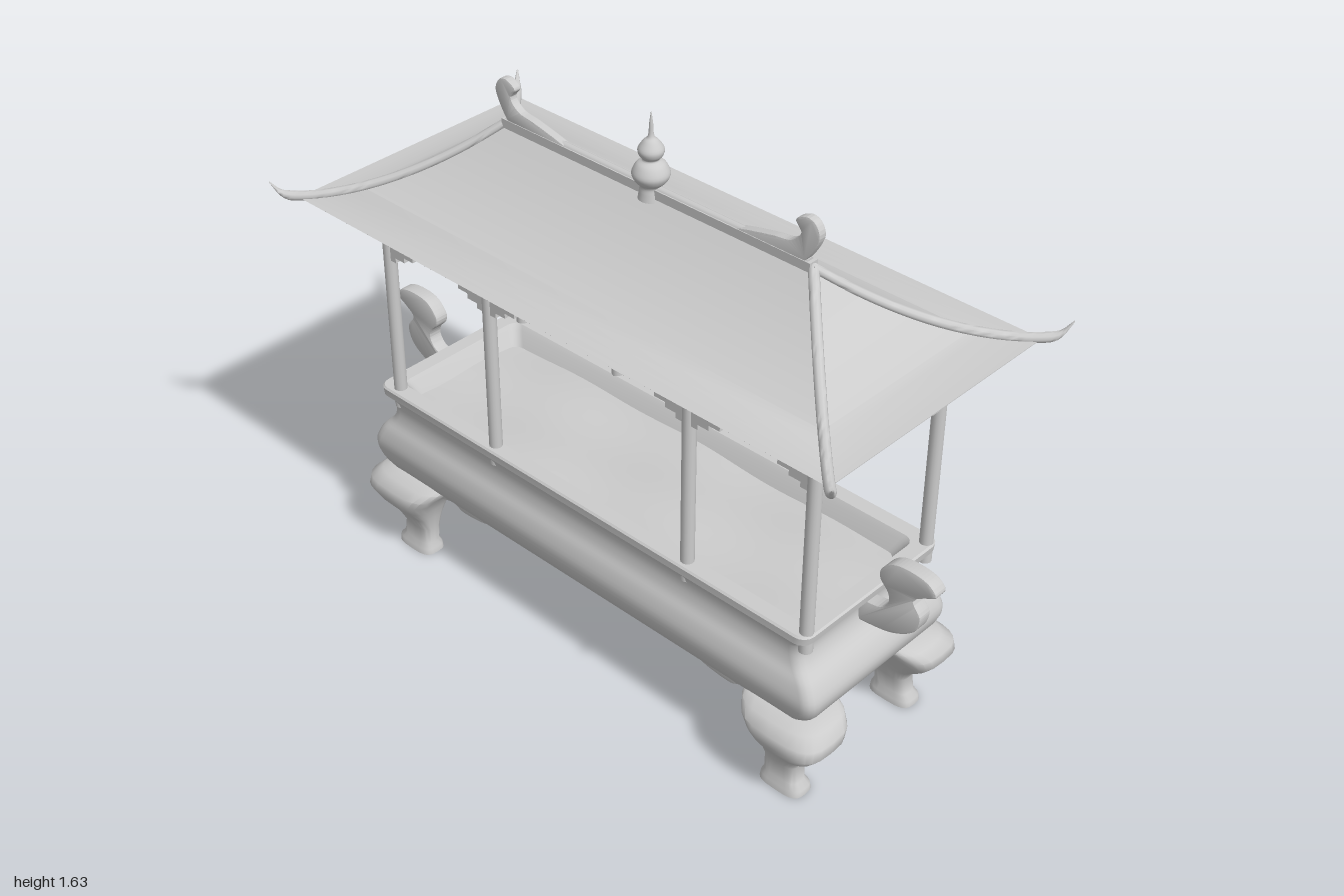
import * as THREE from 'three';
import { toCreasedNormals } from 'three/addons/utils/BufferGeometryUtils.js';

const material = new THREE.MeshStandardMaterial({ color: 0xcccccc, side: THREE.DoubleSide });

function add(parent, name, geometry, x = 0, y = 0, z = 0) {
  const mesh = new THREE.Mesh(geometry, material);
  mesh.name = name;
  mesh.position.set(x, y, z);
  parent.add(mesh);
  return mesh;
}

// Skin a list of closed rings; each ring runs counterclockwise about the direction of travel.
function loft(rings, capStart, capEnd, crease = 0.6) {
  const n = rings[0].length, pos = [], index = [];
  rings.forEach(r => r.forEach(p => pos.push(p.x, p.y, p.z)));
  for (let k = 0; k < rings.length - 1; k++) for (let i = 0; i < n; i++) {
    const a = k * n + i, b = k * n + (i + 1) % n;
    index.push(a, b, b + n, a, b + n, a + n);
  }
  const cap = (k, flip) => {
    const c = new THREE.Vector3();
    rings[k].forEach(p => c.addScaledVector(p, 1 / n));
    const id = pos.length / 3;
    pos.push(c.x, c.y, c.z);
    for (let i = 0; i < n; i++) {
      const a = k * n + i, b = k * n + (i + 1) % n;
      index.push(...(flip ? [b, a, id] : [a, b, id]));
    }
  };
  if (capStart) cap(0, true);
  if (capEnd) cap(rings.length - 1, false);
  const g = new THREE.BufferGeometry();
  g.setAttribute('position', new THREE.Float32BufferAttribute(pos, 3));
  g.setIndex(index);
  return toCreasedNormals(g, crease);
}

// Horizontal rectangle with rounded corners (radius 0 gives four points).
function rectRing(hx, hz, y, r = 0) {
  const ring = [], steps = r ? 5 : 1;
  for (let q = 0; q < 4; q++) {
    const sx = q === 0 || q === 3 ? 1 : -1, sz = q < 2 ? -1 : 1;
    for (let s = 0; s < steps; s++) {
      const a = (q + (r ? s / (steps - 1) : 0)) * Math.PI / 2;
      ring.push(new THREE.Vector3(sx * (hx - r) + r * Math.cos(a), y, sz * (hz - r) - r * Math.sin(a)));
    }
  }
  return ring;
}

// Flat plate in the xy plane, centred on z = 0, with a straight or curved outline.
function plate(points, depth, smooth = true) {
  const v = points.map(p => new THREE.Vector2(...p));
  const shape = new THREE.Shape();
  shape.moveTo(v[0].x, v[0].y);
  if (smooth) shape.splineThru(v.slice(1));
  else v.slice(1).forEach(p => shape.lineTo(p.x, p.y));
  const bevel = smooth ? 0.005 : 0;
  const g = new THREE.ExtrudeGeometry(shape, {
    depth: depth - 2 * bevel, curveSegments: smooth ? 40 : 1, bevelEnabled: smooth,
    bevelThickness: bevel, bevelSize: bevel, bevelOffset: -bevel, bevelSegments: 2,
  });
  g.translate(0, 0, -depth / 2 + bevel);
  return toCreasedNormals(g, 0.6);
}

function smoothPath(points, count) {
  return new THREE.CatmullRomCurve3(points.map(p => new THREE.Vector3(...p))).getPoints(count);
}

export function createModel() {
  const model = new THREE.Group();
  model.name = 'pavilionCenser';

  // Basin: moulded outside, rolled rim and sloping inside
  const basin = smoothPath([
    [0.795, 0.27, 0.262], [0.825, 0.30, 0.276], [0.84, 0.35, 0.285], [0.82, 0.40, 0.276],
    [0.785, 0.44, 0.26], [0.772, 0.48, 0.255], [0.78, 0.52, 0.262], [0.80, 0.533, 0.274],
  ], 28).map(p => rectRing(p.x, p.z, p.y, 0.035));
  basin.push(rectRing(0.803, 0.275, 0.555, 0.035), rectRing(0.798, 0.27, 0.56, 0.03),
    rectRing(0.755, 0.225, 0.56, 0.03), rectRing(0.745, 0.215, 0.545, 0.03), rectRing(0.715, 0.19, 0.49, 0.03));
  add(model, 'basin', loft(basin, true, false));

  // Gently uneven ash bed
  const ash = new THREE.PlaneGeometry(1.46, 0.405, 40, 12).rotateX(-Math.PI / 2);
  const ap = ash.attributes.position;
  for (let i = 0; i < ap.count; i++) {
    const x = ap.getX(i), z = ap.getZ(i);
    ap.setY(i, 0.508 + 0.006 * Math.sin(x * 9 + z * 7) * Math.cos(z * 13 - x * 4));
  }
  ash.computeVertexNormals();
  add(model, 'ashBed', ash);

  // Scrolled end handles
  const handle = plate([
    [0.77, 0.455], [0.87, 0.47], [0.94, 0.51], [0.96, 0.565], [0.935, 0.61], [0.962, 0.635],
    [1.0, 0.66], [0.975, 0.69], [0.92, 0.699], [0.865, 0.69], [0.83, 0.655], [0.83, 0.625],
    [0.855, 0.595], [0.86, 0.565], [0.835, 0.535], [0.77, 0.525],
  ], 0.044);
  for (const s of [1, -1]) add(model, 'handle', handle).rotation.y = s > 0 ? 0 : Math.PI;

  // Cabriole legs: y, inner x, outer x, inner z, outer z
  const leg = [
    [0, 0.65, 0.79, 0.19, 0.275], [0.018, 0.652, 0.788, 0.192, 0.272], [0.035, 0.66, 0.772, 0.2, 0.264],
    [0.085, 0.658, 0.765, 0.198, 0.262], [0.13, 0.652, 0.79, 0.182, 0.282], [0.17, 0.64, 0.84, 0.162, 0.312],
    [0.205, 0.625, 0.868, 0.142, 0.33], [0.235, 0.6, 0.866, 0.125, 0.326], [0.26, 0.58, 0.84, 0.11, 0.3],
    [0.275, 0.57, 0.80, 0.105, 0.265],
  ].map(([y, x0, x1, z0, z1]) => Array.from({ length: 24 }, (_, i) => {
    const a = i / 24 * Math.PI * 2, c = Math.cos(a), s = -Math.sin(a);
    const soft = v => Math.sign(v) * Math.abs(v) ** 0.6;
    return new THREE.Vector3((x0 + x1) / 2 + soft(c) * (x1 - x0) / 2, y, (z0 + z1) / 2 + soft(s) * (z1 - z0) / 2);
  }));
  const legGeometry = loft(leg, true, true, 0.9);

  // Wavy apron scrolls beside each leg
  const apron = plate([
    [0.63, 0.272], [0.62, 0.225], [0.56, 0.235], [0.52, 0.222], [0.46, 0.225],
    [0.41, 0.235], [0.37, 0.25], [0.31, 0.25], [0.24, 0.263], [0.23, 0.272],
  ], 0.04);
  const endApron = plate([
    [0.15, 0.272], [0.15, 0.235], [0.125, 0.218], [0.105, 0.235], [0.085, 0.228],
    [0.07, 0.25], [0.045, 0.252], [0.03, 0.272],
  ], 0.04);
  for (const sx of [1, -1]) for (const sz of [1, -1]) {
    const corner = new THREE.Group();
    corner.name = 'legCorner';
    corner.scale.set(sx, 1, sz);
    corner.position.x = 0.01;
    add(corner, 'leg', legGeometry);
    add(corner, 'apron', apron, 0, 0, 0.215);
    add(corner, 'endApron', endApron, 0.74, 0, 0).rotation.y = -Math.PI / 2;
    model.add(corner);
  }

  // Everything above the basin shares one centre
  const upper = new THREE.Group();
  upper.name = 'canopy';
  upper.position.x = 0.02;
  model.add(upper);

  // Columns and stepped brackets
  const column = new THREE.CylinderGeometry(0.019, 0.019, 0.57, 16);
  const stepped = (w, h) => {
    const pts = [[0, 0]];
    for (let i = 4; i > 0; i--) pts.push([w * i / 4, -h * (4 - i) / 4], [w * i / 4, -h * (5 - i) / 4]);
    return plate([...pts, [0, -h]], 0.022, false);
  };
  const bracket = stepped(0.145, 0.062), endBracket = stepped(0.17, 0.07);
  for (const sz of [1, -1]) {
    for (const x of [-0.76, -0.36, 0.36, 0.76]) {
      add(upper, 'column', column, x, 0.785, sz * 0.242);
      for (const d of [1, -1]) {
        if (Math.abs(x + d * 0.1) > 0.8) continue;
        add(upper, 'bracket', bracket, x, 1.061, sz * 0.242).rotation.y = d > 0 ? 0 : Math.PI;
      }
    }
    for (const x of [-0.76, 0.76])
      add(upper, 'endBracket', endBracket, x, 1.061, sz * 0.242).rotation.y = sz * Math.PI / 2;
  }

  // Beam frame
  for (const s of [1, -1]) {
    add(upper, 'longBeam', new THREE.BoxGeometry(1.56, 0.085, 0.035), 0, 1.1, s * 0.243);
    add(upper, 'endBeam', new THREE.BoxGeometry(0.035, 0.085, 0.46), s * 0.7625, 1.1, 0);
  }

  // Hipped roof: curved eave underside, then concave slope up to the ridge
  const slopeY = t => 1.192 + 0.213 * (1 - t) ** 1.8;
  const roof = [[0.775, 0.257, 1.137], [0.82, 0.30, 1.138], [0.865, 0.345, 1.15], [0.90, 0.38, 1.168],
    [0.925, 0.405, 1.19]].map(([x, z, y]) => rectRing(x, z, y));
  for (let i = 0; i <= 16; i++) {
    const t = 1 - i / 16;
    roof.push(rectRing(0.53 + 0.395 * t, 0.405 * t + 0.002, slopeY(t)));
  }
  add(upper, 'roof', loft(roof, false, false, 0.5));

  // Hip ridges with upturned tapering tips
  const hipPoints = [0, 0.2, 0.4, 0.6, 0.8, 0.97].map(t => [0.53 + 0.395 * t, slopeY(t) + 0.004, 0.405 * t]);
  hipPoints.push([0.955, 1.203, 0.435], [0.978, 1.24, 0.46]);
  const path = smoothPath(hipPoints, 40);
  const hip = loft(path.map((p, i) => Array.from({ length: 10 }, (_, k) => {
    const a = k / 10 * Math.PI * 2, r = 0.014 * Math.min(1, (41.5 - i) / 9);
    const side = r * Math.cos(a) * Math.SQRT1_2;
    return new THREE.Vector3(p.x + side, p.y + r * Math.sin(a), p.z - side);
  })), true, true, 1);
  for (const sx of [1, -1]) for (const sz of [1, -1]) add(upper, 'hipRidge', hip).scale.set(sx, 1, sz);

  // Top ridge and its curled end ornaments
  add(upper, 'ridge', new THREE.BoxGeometry(1.06, 0.026, 0.03), 0, 1.413, 0);
  add(upper, 'ridgeRoll', new THREE.CylinderGeometry(0.013, 0.013, 1.04, 12).rotateZ(Math.PI / 2), 0, 1.42, 0);
  const curl = plate([
    [0.5, 1.41], [0.53, 1.45], [0.553, 1.5], [0.54, 1.535], [0.51, 1.545], [0.478, 1.525],
    [0.495, 1.495], [0.465, 1.465], [0.41, 1.455], [0.33, 1.437], [0.27, 1.42],
  ], 0.026);
  for (const s of [1, -1]) add(upper, 'ridgeOrnament', curl).rotation.y = s > 0 ? 0 : Math.PI;

  // Gourd finial with spire
  const finial = new THREE.SplineCurve([
    [0.034, 1.39], [0.031, 1.41], [0.03, 1.428], [0.043, 1.443], [0.05, 1.463], [0.038, 1.488], [0.022, 1.5],
    [0.031, 1.513], [0.034, 1.53], [0.02, 1.552], [0.008, 1.565], [0.005, 1.6], [0.001, 1.63],
  ].map(p => new THREE.Vector2(...p))).getPoints(48);
  add(upper, 'finial', new THREE.LatheGeometry(finial, 28));

  return model;
}
